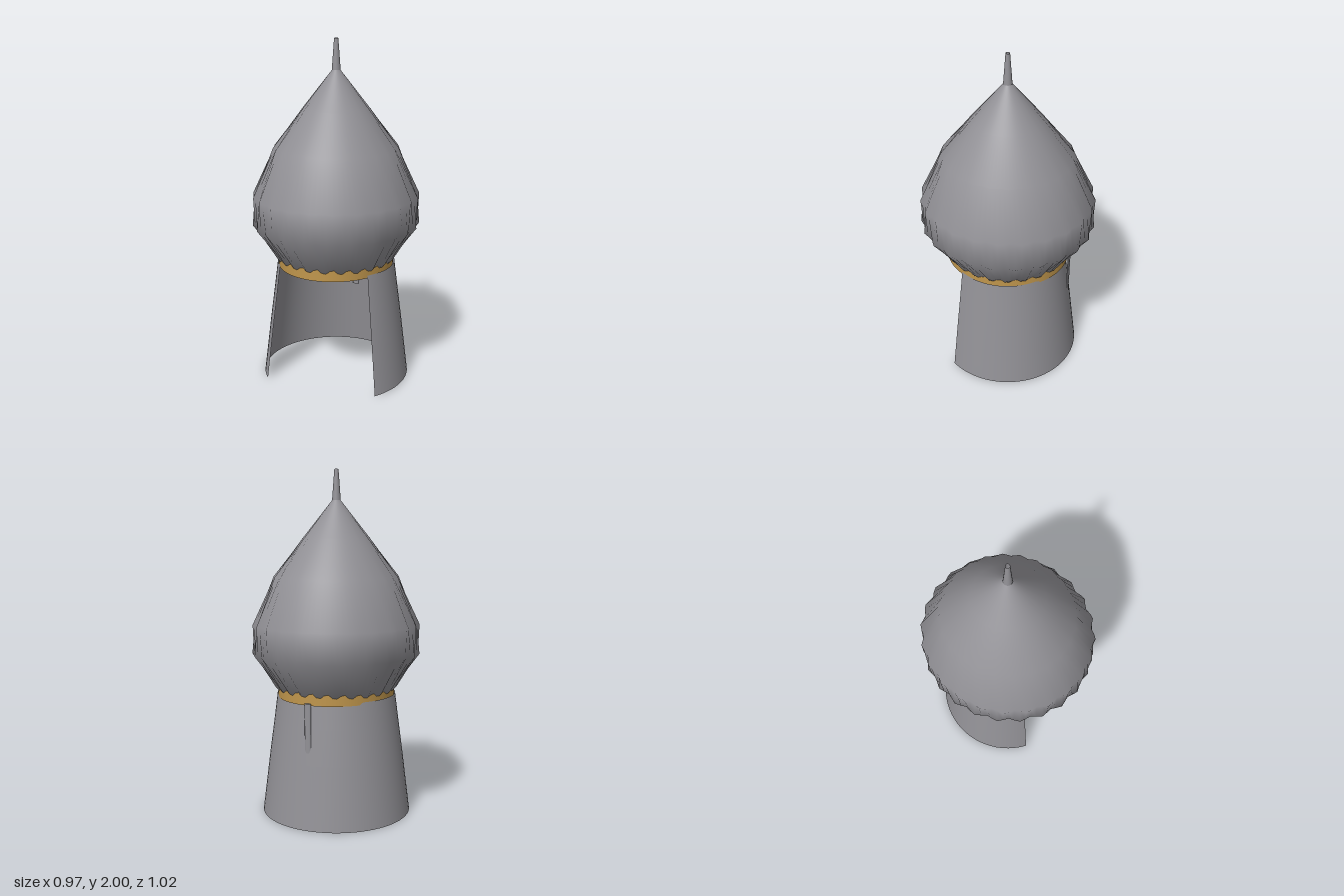
import * as THREE from 'three';

const steel = new THREE.MeshStandardMaterial({ color: 0x929196, side: THREE.DoubleSide });
steel.name = 'steel';
const gold = new THREE.MeshStandardMaterial({ color: 0xc0964c, side: THREE.DoubleSide });
gold.name = 'gold';

const OVAL = 0.95; // width of the bowl relative to its depth
const FLUTES = 24;

function lathe(points, segments, start = 0, length = Math.PI * 2) {
  return new THREE.LatheGeometry(points.map(([r, y]) => new THREE.Vector2(r, y)), segments, start, length);
}

function addPart(group, name, geometry, material) {
  const mesh = new THREE.Mesh(geometry, material);
  mesh.name = name;
  group.add(mesh);
  return mesh;
}

// Onion bowl: smooth lathe normals are kept, then the wall is pushed into twisted flutes
function bowlGeometry() {
  const geometry = lathe([
    [0.32, 0.70], [0.365, 0.75], [0.5, 0.945], [0.497, 1.115],
    [0.372, 1.39], [0.2, 1.61], [0.025, 1.825],
  ], FLUTES * 4);
  const p = geometry.attributes.position;
  for (let i = 0; i < p.count; i++) {
    const x = p.getX(i), y = p.getY(i), z = p.getZ(i);
    const angle = Math.atan2(x, z);
    const depth = 0.011 * THREE.MathUtils.clamp((1.8 - y) / 0.7, 0, 1);
    const k = 1 + depth * Math.cos(FLUTES * (angle - 0.45 * (y - 0.945))) / Math.hypot(x, z);
    p.setXYZ(i, x * k, y, z * k);
  }
  return geometry.scale(OVAL, 1, 1);
}

export function createModel() {
  const model = new THREE.Group();
  model.name = 'helmet';

  addPart(model, 'bowl', bowlGeometry(), steel);

  // Hollow spike, open at its tip
  addPart(model, 'spike', lathe([[0.025, 1.825], [0.012, 2]], 24), steel);

  // Oval rim band; the flutes above cut its scalloped upper edge
  addPart(model, 'rimBand', lathe([[0.365, 0.695], [0.365, 0.77]], 96).scale(0.92, 1, 1), gold);

  // Flared neck curtain, open at the front
  const gap = THREE.MathUtils.degToRad(50.3);
  addPart(model, 'neckCurtain', lathe([
    [0.438, 0], [0.393, 0.36], [0.366, 0.56], [0.347, 0.71],
  ], 48, gap, Math.PI * 2 - 2 * gap), steel);

  // Narrow rounded guard bar at the back
  const guard = new THREE.CylinderGeometry(0.02, 0.02, 0.29, 12).scale(1, 1, 0.4);
  addPart(model, 'guardBar', guard, steel).position.set(0, 0.563, -0.376);

  return model;
}
